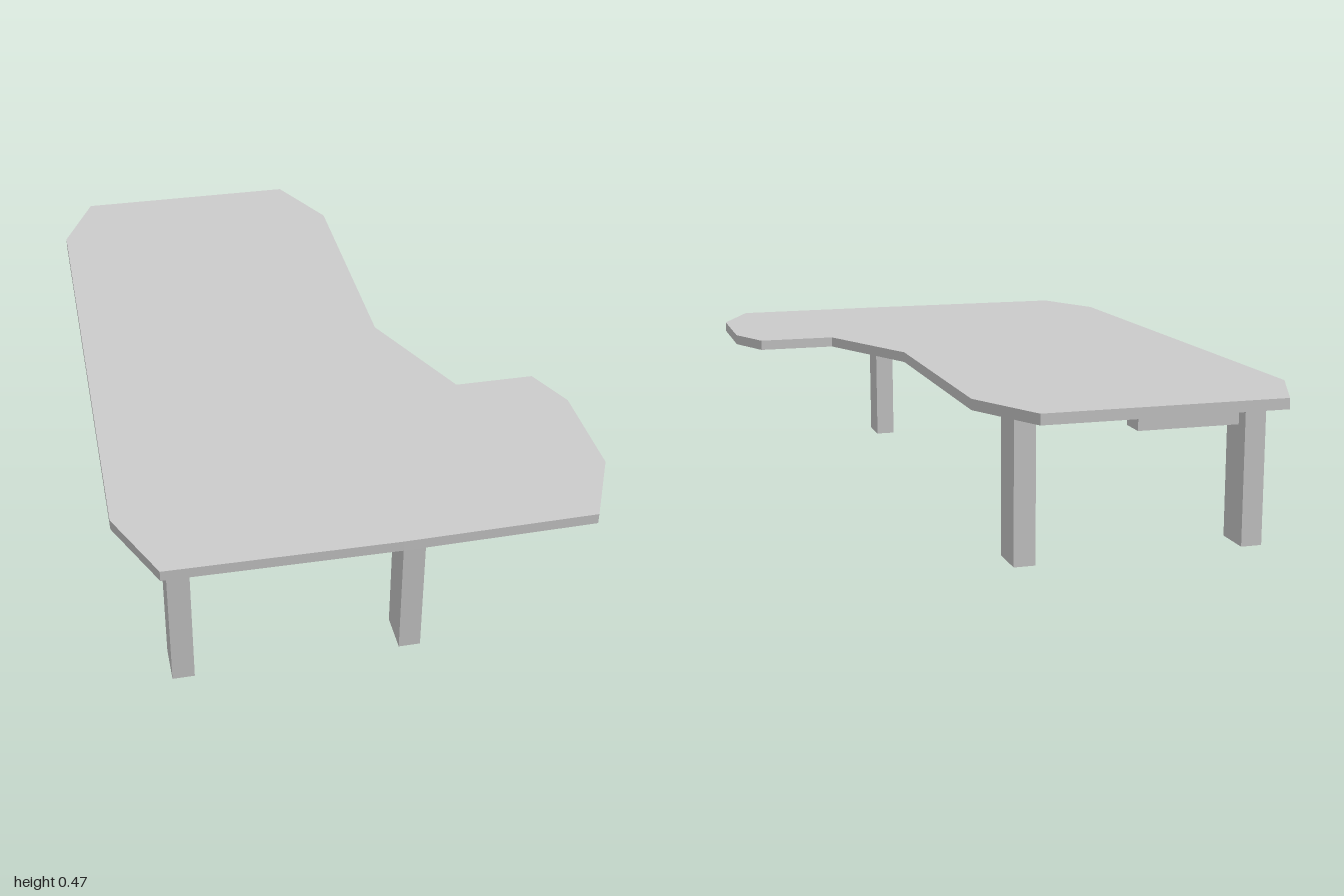
import * as THREE from 'three';

export function createModel() {
  const root = new THREE.Group();
  root.name = 'desk';
  const mat = new THREE.MeshStandardMaterial({ color: 0xcccccc, flatShading: true });

  // The whole desk leans slightly, its back edge higher, about the middle of the top.
  const pivotY = 0.437;
  const desk = new THREE.Group();
  desk.name = 'tiltedDesk';
  desk.position.y = pivotY;
  desk.rotation.x = 0.0145;
  root.add(desk);

  // Box given by its limits in the level desk frame.
  const block = (name, x0, x1, y0, y1, z0, z1) => {
    const mesh = new THREE.Mesh(new THREE.BoxGeometry(x1 - x0, y1 - y0, z1 - z0), mat);
    mesh.position.set((x0 + x1) / 2, (y0 + y1) / 2 - pivotY, (z0 + z1) / 2);
    mesh.name = name;
    desk.add(mesh);
  };

  // L-shaped top with clipped corners, outline as x, z.
  const outline = [
    [-0.57, -1], [0.11, -1], [0.222, -0.77], [0.222, -0.015], [0.38, 0.34], [0.61, 0.34],
    [0.672, 0.48], [0.672, 0.78], [0.575, 0.99], [0.05, 0.997], [-0.57, 0.99],
    [-0.672, 0.765], [-0.672, -0.77],
  ].map(([x, z]) => new THREE.Vector2(x, z));
  const topGeo = new THREE.ExtrudeGeometry(new THREE.Shape(outline), { depth: 0.03, bevelEnabled: false });
  topGeo.rotateX(Math.PI / 2);
  topGeo.translate(0, 0.015, 0);
  const top = new THREE.Mesh(topGeo, mat);
  top.name = 'tabletop';
  desk.add(top);

  // Legs
  const under = 0.423, foot = 0.0133;
  block('frontRightLeg', -0.55, -0.49, foot, under, 0.812, 0.922);
  block('frontLeftLeg', 0.073, 0.133, foot, under, 0.812, 0.922);
  block('backRightLeg', -0.577, -0.517, foot, under, -0.855, -0.743);
  block('backLeftLeg', 0.073, 0.133, foot, under, -0.855, -0.743);

  // Two L-shaped brackets under the top
  const low = 0.347;
  block('outerRail', -0.56, -0.485, low, under, -0.735, 0);
  block('outerCrossBlock', -0.56, -0.225, low, under, -0.815, -0.735);
  block('innerRail', -0.42, -0.35, low, under, -0.545, 0);
  block('innerCrossBlock', -0.42, -0.225, low, under, -0.625, -0.545);

  return root;
}
